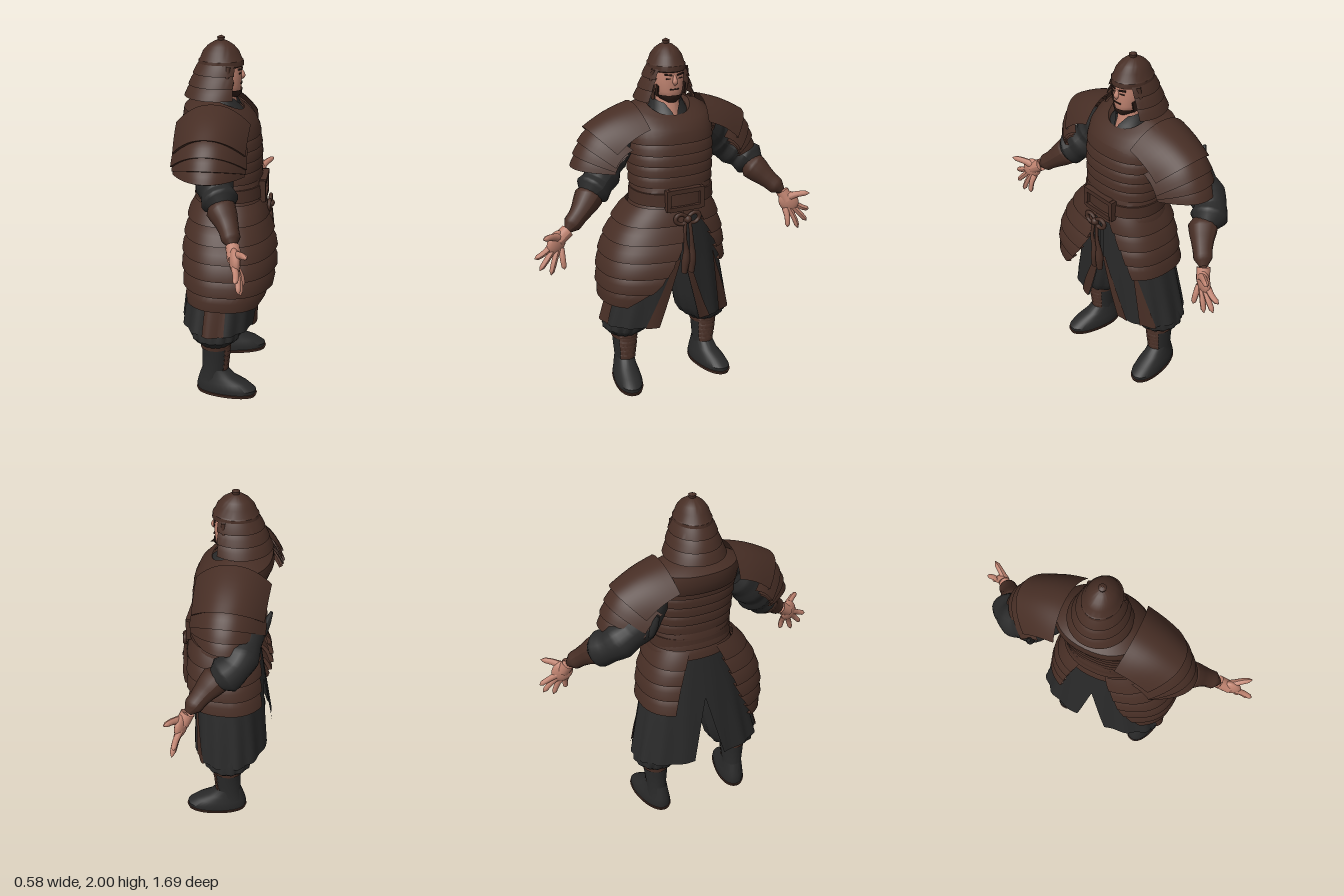
import * as THREE from 'three';
import { toCreasedNormals } from 'three/addons/utils/BufferGeometryUtils.js';

const TAU = Math.PI * 2;
const paint = (name, color) => {
  const m = new THREE.MeshStandardMaterial({ color, side: THREE.DoubleSide });
  m.name = name;
  return m;
};

export function createModel() {
  const leather = paint('brown leather', 0x472e25);
  const cloth = paint('black cloth', 0x292929);
  const skin = paint('skin', 0xbf8370);
  const hair = paint('dark hair', 0x2e1d17);

  const root = new THREE.Group();
  const body = new THREE.Group();
  body.name = 'warrior';
  body.rotation.y = Math.PI / 2; // built facing +z, turned to face +x
  root.add(body);

  const add = (name, mat, geo, x = 0, y = 0, z = 0) => {
    const m = new THREE.Mesh(geo, mat);
    m.name = name;
    m.position.set(x, y, z);
    body.add(m);
    return m;
  };

  // Grid of points to a smooth surface with sharp edges kept
  const grid = (rows) => {
    const n = rows[0].length, idx = [];
    for (let r = 0; r < rows.length - 1; r++)
      for (let i = 0; i < n - 1; i++) {
        const a = r * n + i, d = a + n;
        idx.push(a, a + 1, d + 1, a, d + 1, d);
      }
    const g = new THREE.BufferGeometry();
    g.setAttribute('position', new THREE.Float32BufferAttribute(rows.flat(2), 3));
    g.setIndex(idx);
    return toCreasedNormals(g, 0.7);
  };

  // Ring: [y, rx, rz, cz, cx, startAngle, endAngle], bottom to top; angle 0 is the front.
  // dip lowers the front of rings above y 1.5 for a neckline
  const loft = (rings, { n = 40, p = 1, wave = 0, dip = 0 } = {}) => grid(rings.map(([y, rx, rz, cz = 0, cx = 0, a0 = 0, a1 = TAU]) => {
    const row = [];
    for (let i = 0; i <= n; i++) {
      const a = a0 + (a1 - a0) * i / n, s = Math.sin(a), c = Math.cos(a);
      const k = 1 + wave * Math.sin(a * 14) * Math.max(0, 1 - (y - 0.4) * 1.6);
      const drop = dip * Math.max(0, c) * Math.max(0, y - 1.5) / 0.17;
      row.push([cx + rx * k * Math.sign(s) * Math.abs(s) ** p, y - drop, cz + rz * k * Math.sign(c) * Math.abs(c) ** p]);
    }
    return row;
  }));

  // Overlapping rows of plates that follow a few key rings
  const plates = (keys, count, flare) => {
    const y0 = keys[0][0], y1 = keys.at(-1)[0], out = [];
    const at = (y, f) => {
      let k = 0;
      while (k < keys.length - 2 && y > keys[k + 1][0]) k++;
      const A = keys[k], B = keys[k + 1], t = (y - A[0]) / (B[0] - A[0]);
      const r = A.map((v, i) => v + (B[i] - v) * t);
      r[1] += f; r[2] += f;
      return r;
    };
    const h = (y1 - y0) / count;
    for (let i = 0; i < count; i++) {
      const y = y0 + i * h;
      out.push(at(y + 0.006, -0.005), at(y, flare), at(y + h * 0.55, flare * 0.75), at(y + h, 0));
    }
    return out;
  };

  // Round limb along a path with a changing radius
  const limb = (pts, radii, segs = 14, sides = 14) => {
    const curve = new THREE.CatmullRomCurve3(pts.map((q) => new THREE.Vector3(...q)));
    const g = new THREE.TubeGeometry(curve, segs, 1, sides), pos = g.attributes.position, v = new THREE.Vector3();
    for (let i = 0; i <= segs; i++) {
      const c = curve.getPointAt(i / segs), f = i / segs * (radii.length - 1), k = Math.min(Math.floor(f), radii.length - 2);
      const r = radii[k] + (radii[k + 1] - radii[k]) * (f - k);
      for (let j = 0; j <= sides; j++) {
        const o = i * (sides + 1) + j;
        v.fromBufferAttribute(pos, o).sub(c).multiplyScalar(r).add(c);
        pos.setXYZ(o, v.x, v.y, v.z);
      }
    }
    g.computeVertexNormals();
    return g;
  };

  // Head and neck
  add('neck', skin, loft([[1.54, 0.075, 0.085, -0.01], [1.62, 0.066, 0.07, -0.02], [1.72, 0.062, 0.062, -0.03]]));
  add('head', skin, loft([[1.675, 0.028, 0.03, 0.02], [1.69, 0.058, 0.075, -0.01], [1.73, 0.077, 0.09, -0.02],
    [1.8, 0.085, 0.098, -0.025], [1.87, 0.08, 0.095, -0.03]], { p: 0.9 }));
  add('nose', skin, limb([[0, 1.82, 0.066], [0, 1.785, 0.077], [0, 1.764, 0.073]], [0.007, 0.012, 0.016, 0.002], 8, 8));
  add('beard', hair, loft([[1.668, 0.028, 0.033, 0.022, 0, -1.4, 1.4], [1.688, 0.062, 0.081, -0.01, 0, -1.4, 1.4],
    [1.712, 0.076, 0.09, -0.014, 0, -1.4, 1.4]], { p: 0.9 }));
  add('moustache', hair, new THREE.BoxGeometry(0.05, 0.007, 0.008), 0, 1.744, 0.07);
  for (const s of [-1, 1]) {
    add('sideburn', hair, new THREE.BoxGeometry(0.008, 0.06, 0.03), s * 0.08, 1.735, 0.018).rotation.x = 0.2;
    add('eyebrow', hair, new THREE.BoxGeometry(0.042, 0.008, 0.008), s * 0.035, 1.824, 0.067).rotation.set(0, s * 0.25, s * 0.15);
    add('eye', hair, new THREE.BoxGeometry(0.026, 0.006, 0.006), s * 0.034, 1.803, 0.067).rotation.y = s * 0.25;
    add('cheekGuard', leather, limb([[s * 0.096, 1.85, 0.01], [s * 0.102, 1.76, 0.0], [s * 0.092, 1.685, -0.005]], [0.012, 0.014, 0.01]));
  }

  // Helmet
  add('helmetDome', leather, loft([[1.835, 0.092, 0.112, -0.04], [1.842, 0.102, 0.124, -0.04], [1.87, 0.101, 0.121, -0.04],
    [1.875, 0.096, 0.114, -0.04], [1.915, 0.083, 0.098, -0.04], [1.945, 0.062, 0.072, -0.04], [1.966, 0.036, 0.04, -0.04],
    [1.974, 0.018, 0.018, -0.04], [1.99, 0.021, 0.021, -0.04], [2.0, 0.002, 0.002, -0.04]]));
  add('neckGuard', leather, loft(plates([[1.675, 0.16, 0.165, -0.065, 0, 0.95, TAU - 0.95],
    [1.77, 0.125, 0.145, -0.05, 0, 0.95, TAU - 0.95], [1.86, 0.098, 0.117, -0.04, 0, 0.85, TAU - 0.85]], 3, 0.01)));

  // Collar and undershirt
  add('collar', cloth, loft([[1.56, 0.15, 0.14, -0.02, 0, 0.02, TAU - 0.02], [1.64, 0.1, 0.105, -0.03, 0, 0.14, TAU - 0.14],
    [1.69, 0.082, 0.086, -0.035, 0, 0.6, TAU - 0.6]], { dip: 0.025 }));
  add('undershirt', cloth, loft([[0.95, 0.2, 0.16, 0], [1.25, 0.22, 0.165, 0], [1.55, 0.22, 0.14, -0.03]]));

  // Cuirass: rows of plates below a solid yoke
  add('chestPlates', leather, loft(plates([[1.23, 0.225, 0.17, 0.01], [1.38, 0.235, 0.18, 0], [1.53, 0.24, 0.183, -0.022]], 5, 0.012), { p: 0.88 }));
  add('yoke', leather, loft([[1.5, 0.235, 0.18, -0.02], [1.5, 0.254, 0.195, -0.022], [1.57, 0.252, 0.2, -0.045],
    [1.62, 0.235, 0.18, -0.058], [1.65, 0.18, 0.148, -0.048], [1.665, 0.125, 0.122, -0.036], [1.64, 0.105, 0.104, -0.03]], { p: 0.9, dip: 0.06 }));

  // Waist, belt, buckle and knot
  add('waistSash', leather, loft(plates([[1.07, 0.235, 0.19, 0.01], [1.25, 0.212, 0.17, 0.012]], 3, 0.012), { p: 0.9 }));
  add('belt', leather, loft([[1.125, 0.21, 0.18, 0.012], [1.13, 0.24, 0.195, 0.015], [1.2, 0.236, 0.19, 0.015], [1.205, 0.2, 0.17, 0.012]], { p: 0.9 }));
  for (const y of [1.115, 1.215]) add('buckleBar', leather, new THREE.BoxGeometry(0.19, 0.026, 0.035), 0, y, 0.203);
  for (const s of [-1, 1]) {
    add('buckleSide', leather, new THREE.BoxGeometry(0.026, 0.12, 0.035), s * 0.1, 1.165, 0.2);
    const bow = add('bowLoop', leather, new THREE.TorusGeometry(0.028, 0.011, 8, 16), s * 0.038, 1.062, 0.235);
    bow.scale.x = 1.25;
    bow.rotation.z = s * 0.4;
    add('cord', leather, limb([[s * 0.012, 1.06, 0.235], [s * 0.02, 0.95, 0.245], [s * 0.018 + 0.01, 0.87, 0.24], [s * 0.022 + 0.005, 0.74, 0.235]],
      [0.01, 0.01, 0.013, 0.024, 0.016]));
  }
  add('knot', leather, new THREE.SphereGeometry(0.022, 12, 8), 0, 1.06, 0.24);

  // Hip armour: long on one side, short on the other
  add('longTasset', leather, loft(plates([[0.57, 0.41, 0.235, 0.01, 0, -2.4, -0.85], [0.68, 0.425, 0.256, 0.022, 0, -2.6, -0.36],
    [0.8, 0.415, 0.255, 0.022, 0, -2.75, -0.18], [0.9, 0.387, 0.242, 0.017, 0, -2.8, -0.07], [1.0, 0.335, 0.215, 0.01, 0, -2.85, -0.03],
    [1.12, 0.25, 0.19, 0.01, 0, -2.9, -0.02]], 6, 0.022), { p: 0.8 }));
  add('shortTasset', leather, loft(plates([[0.75, 0.3, 0.225, -0.01, 0, 0.75, 2.6], [0.9, 0.288, 0.215, 0, 0, 0.54, 2.7],
    [1.0, 0.26, 0.205, 0, 0, 0.38, 2.75], [1.12, 0.22, 0.19, 0.01, 0, 0.2, 2.85]], 4, 0.02), { p: 0.8 }));

  // Split robe skirt with brown trims
  const robe = (y, o = 0) => {
    const t = (1.08 - y) / 0.68;
    return [y, 0.2 + 0.185 * t ** 0.8 + o, 0.18 + 0.035 * t + o, 0.01 - 0.045 * t, -0.015 * t];
  };
  const spread = (y) => Math.max(0, 0.8 - y) / 0.4;
  const gap = (y) => 0.02 + 0.25 * spread(y);
  const vent = (y) => 0.19 * spread(y);
  const ys = [0.4, 0.5, 0.6, 0.7, 0.8, 0.9, 1.08];
  const fold = { n: 50, p: 0.85, wave: 0.022 };
  add('robeSkirt', cloth, loft(ys.map((y) => [...robe(y), gap(y), Math.PI - vent(y)]), fold));
  add('robeSkirt', cloth, loft(ys.map((y) => [...robe(y), Math.PI + vent(y), TAU - gap(y)]), fold));
  const trim = (list, from, to) => add('robeTrim', leather, loft(list.map((y) => [...robe(y, 0.007), from(y), to(y)]), { ...fold, n: 12 }));
  const hem = ys.slice(0, 5);
  trim(hem, gap, (y) => gap(y) + 0.06 + 0.13 * spread(y));
  trim(hem, (y) => -gap(y) - 0.08 - 0.15 * spread(y), (y) => -gap(y));
  trim(hem, () => 0.72, (y) => 0.76 + 0.32 * spread(y));
  trim(ys.slice(0, 4), () => -1.82, () => -1.38);

  // Each arm: sleeve path and bracer path, for a positive side
  const arms = {
    '-1': [[[0.24, 1.48, -0.06], [0.33, 1.38, -0.06], [0.41, 1.27, -0.015], [0.5, 1.2, 0.03]],
      [[0.46, 1.22, 0], [0.55, 1.135, 0.06], [0.645, 1.055, 0.1]]],
    1: [[[0.24, 1.48, -0.07], [0.36, 1.37, -0.15], [0.51, 1.265, -0.125], [0.58, 1.2, -0.03]],
      [[0.53, 1.225, -0.06], [0.61, 1.14, 0.025], [0.685, 1.065, 0.09]]],
  };

  for (const s of [-1, 1]) {
    // Legs and boots
    const cx = s < 0 ? -0.27 : 0.24, cz = -0.04;
    add('trouserLeg', cloth, loft([[0.3, 0.07, 0.07, cz, cx], [0.33, 0.105, 0.11, cz, cx], [0.355, 0.135, 0.135, cz, cx * 0.97],
      [0.41, 0.15, 0.145, cz, cx * 0.9], [0.5, 0.145, 0.145, -0.03, cx * 0.8], [0.7, 0.135, 0.14, -0.02, cx * 0.6],
      [0.95, 0.13, 0.13, 0, cx * 0.45]], { wave: 0.03, n: 60 }));
    const shin = [[0.08, 0.06, 0.075, -0.055, cx], [0.15, 0.056, 0.07, -0.045, cx], [0.25, 0.068, 0.076, -0.04, cx], [0.33, 0.074, 0.08, cz, cx]];
    add('bootShaft', cloth, loft(shin));
    add('bootCuff', leather, loft([[0.285, 0.076, 0.084, cz, cx], [0.33, 0.08, 0.087, cz, cx]]));
    add('bootLacing', leather, loft(plates(shin.slice(1).map(([y, a, b, z, x]) => [y, a + 0.003, b + 0.003, z, x, -0.8, 0.8]), 6, 0.006), { n: 12 }));
    const foot = [
      add('bootFoot', cloth, loft([[0.01, 0.074, 0.168, 0.065], [0.04, 0.078, 0.173, 0.063], [0.075, 0.07, 0.145, 0.043],
        [0.105, 0.06, 0.105, 0.012], [0.15, 0.054, 0.072, -0.005]], { p: 0.9 }), cx, 0, -0.04),
      add('bootSole', leather, loft([[0, 0.002, 0.002, 0.065], [0, 0.076, 0.17, 0.065], [0.018, 0.081, 0.177, 0.065], [0.02, 0.06, 0.15, 0.065]],
        { p: 0.9 }), cx, 0, -0.04),
    ];
    foot.forEach((f) => { f.rotation.y = s * 0.17; });

    // Shoulder guard rows: crest start x y, crest end x y, then how far the front and back edges fall
    const rows = [[0.2, 1.67, 0.47, 1.555, -0.09, -0.11], [0.4, 1.56, 0.505, 1.475, -0.13, -0.1],
      [0.45, 1.495, 0.535, 1.41, -0.16, -0.06], [0.485, 1.425, 0.555, 1.345, -0.18, -0.01]];
    rows.forEach(([x0, y0, x1, y1, dx, dy], k) => {
      const arch = [];
      for (let i = 0; i <= 7; i++) {
        const t = Math.min(i / 6, 1), lip = i === 7 ? 0.018 : 0, bulge = 0.012 * Math.sin(t * Math.PI);
        const w = 0.2 - 0.006 * k + (k ? 0.008 : -0.008) * t - lip, out = dx * (k ? 1 : 0.3 + t * 0.9), line = [];
        for (let j = 0; j <= 24; j++) {
          const u = s * (j / 12 - 1), d = Math.abs(u) ** 2.2;
          line.push([s * (x0 + (x1 - x0) * t + out * d + bulge * 0.5 - lip * 0.8), y0 + (y1 - y0) * t + dy * d + bulge - lip * 0.4, -0.06 + w * u]);
        }
        arch.unshift(line.reverse());
      }
      add('shoulderGuard', leather, grid(arch));
    });

    // Sleeve, bracer and hand
    const [sleeve, bracer] = arms[s].map((path) => path.map(([x, y, z]) => [s * x, y, z]));
    add('sleeve', cloth, limb(sleeve, [0.08, 0.1, 0.096, 0.105, 0.09, 0.103, 0.088, 0.1, 0.05], 32, 18));
    add('bracer', leather, limb(bracer, [0.05, 0.08, 0.072, 0.06, 0.052, 0.05, 0.02], 18));
    add('wrist', skin, limb([bracer[2], [s * 0.71, 1.01, 0.115]], [0.037, 0.036]));
    const palm = add('palm', skin, new THREE.SphereGeometry(1, 16, 12), s * 0.715, 1.005, 0.118);
    palm.scale.set(0.057, 0.068, 0.028);
    palm.rotation.set(0, s * -0.3, s * 0.6);
    const tips = [[0.845, 0.94, 0.135], [0.825, 0.875, 0.15], [0.765, 0.84, 0.155], [0.69, 0.86, 0.16]];
    tips.forEach(([x, y, z], i) => add('finger', skin, limb([[s * (0.745 - i * 0.018), 0.99 - i * 0.008, 0.12],
      [s * (x * 0.5 + 0.375 - i * 0.009), y * 0.5 + 0.49, z * 0.5 + 0.066], [s * x, y, z]],
    [0.018, 0.018, 0.017, 0.016, 0.016, 0.015, 0.014, 0.002], 14, 10)));
    add('thumb', skin, limb([[s * 0.7, 1.03, 0.115], [s * 0.755, 1.055, 0.155], [s * 0.81, 1.065, 0.19]],
      [0.024, 0.024, 0.02, 0.018, 0.017, 0.015, 0.002], 12, 10));
  }

  // Loose sleeve tie behind one shoulder
  add('sleeveTie', cloth, limb([[0.31, 1.48, -0.28], [0.32, 1.41, -0.255], [0.34, 1.34, -0.225], [0.36, 1.31, -0.17]], [0.008, 0.022, 0.025, 0.02]));

  return root;
}
